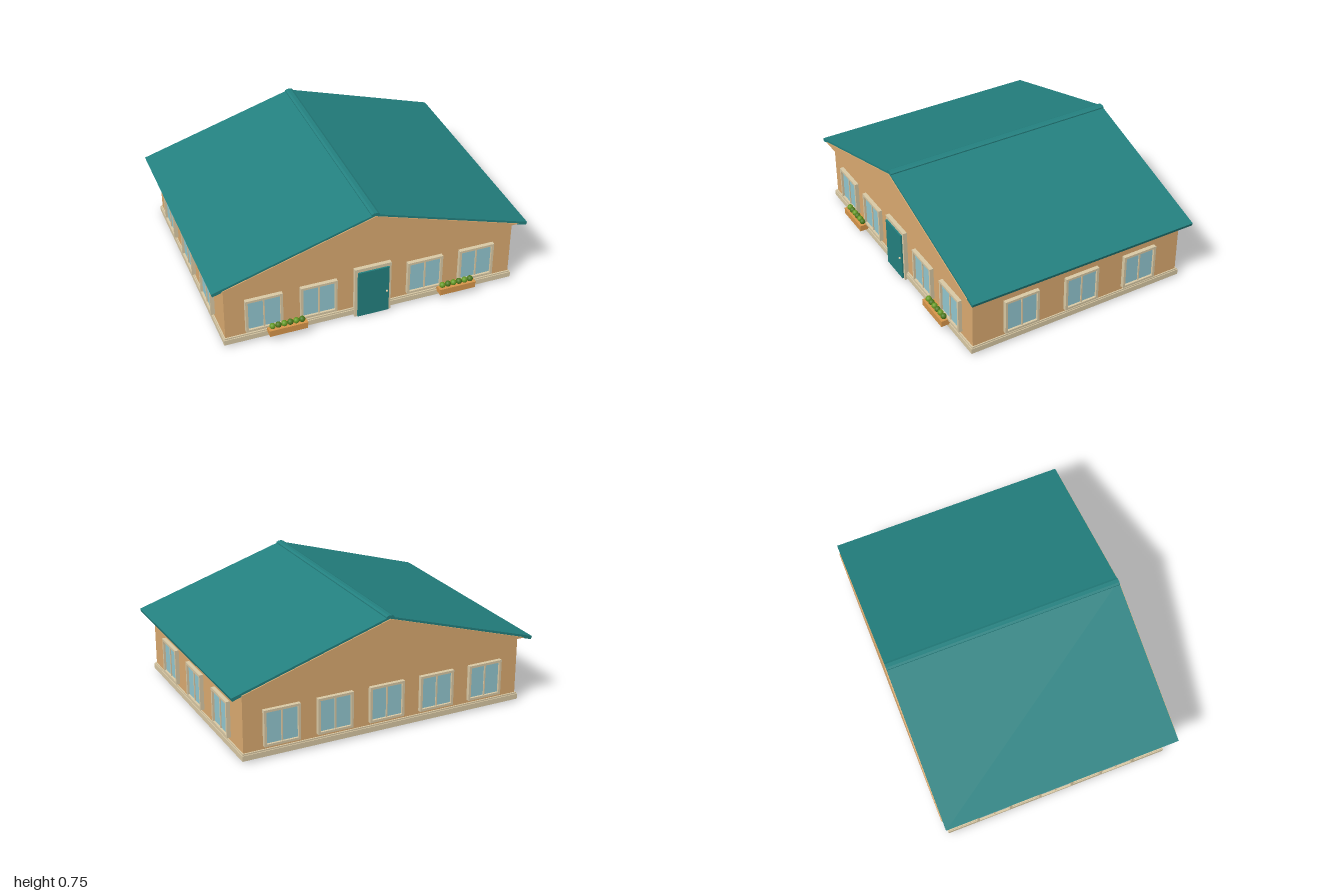
import * as THREE from 'three';

const mat = (name, color, side = THREE.FrontSide) => {
  const m = new THREE.MeshStandardMaterial({ color, side });
  m.name = name;
  return m;
};

export function createModel() {
  const house = new THREE.Group();
  house.name = 'house';
  const wallMat = mat('tan wall', 0xdaaa70, THREE.DoubleSide);
  const roofMat = mat('teal', 0x23807f, THREE.DoubleSide);
  const trimMat = mat('cream trim', 0xd8c8a4);
  const glassMat = mat('pale blue glass', 0x92c6cf);
  const woodMat = mat('planter wood', 0xd6954a);
  const leafMat = mat('leaf green', 0x669a24);
  const darkLeafMat = mat('deep leaf green', 0x4c7a1e);

  const CZ = -0.009; // middle of the walls in z
  const HX = 0.92, HZ = 0.719;

  const add = (parent, name, geo, material, x = 0, y = 0, z = 0) => {
    const m = new THREE.Mesh(geo, material);
    m.name = name;
    m.position.set(x, y, z);
    parent.add(m);
    return m;
  };
  const box = (parent, name, w, h, d, material, x, y, z) =>
    add(parent, name, new THREE.BoxGeometry(w, h, d), material, x, y, z);
  const rect = (T, hw, hh) => {
    const s = new T();
    s.moveTo(-hw, -hh);
    s.lineTo(hw, -hh);
    s.lineTo(hw, hh);
    s.lineTo(-hw, hh);
    s.closePath();
    return s;
  };
  // rectangular ring extruded along z
  const ring = (hw, hh, t, depth) => {
    const s = rect(THREE.Shape, hw, hh);
    s.holes.push(rect(THREE.Path, hw - t, hh - t));
    return new THREE.ExtrudeGeometry(s, { depth, bevelEnabled: false });
  };
  const polygon = (pts, depth) => new THREE.ExtrudeGeometry(
    new THREE.Shape(pts.map(p => new THREE.Vector2(...p))), { depth, bevelEnabled: false });

  // hollow walls and plinth, open underneath
  add(house, 'walls', ring(HX, HZ, 0.015, 0.387).rotateX(-Math.PI / 2), wallMat, 0, 0.05, CZ);
  add(house, 'plinth', ring(HX + 0.012, HZ + 0.015, 0.035, 0.034).rotateX(-Math.PI / 2), trimMat, 0, 0.012, CZ);
  add(house, 'plinthCap', ring(HX + 0.007, HZ + 0.009, 0.03, 0.009).rotateX(-Math.PI / 2), trimMat, 0, 0.046, CZ);

  // gables
  const gable = [[-0.94, 0.437], [0.94, 0.437], [0, 0.728]];
  add(house, 'frontGable', polygon(gable, 0.052), wallMat, 0, 0, 0.705);
  add(house, 'backGable', polygon(gable, 0.052), wallMat, 0, 0, -0.775);

  // roof and ridge cap
  add(house, 'roof', polygon([[-1, 0.433], [-0.994, 0.413], [0, 0.719], [0.994, 0.413], [1, 0.433], [0, 0.741]], 1.52),
    roofMat, 0, 0, -0.768);
  add(house, 'ridgeCap', polygon([[-0.025, 0.73], [0.025, 0.73], [0.025, 0.741], [0.012, 0.748], [-0.012, 0.748], [-0.025, 0.741]], 1.52),
    roofMat, 0, 0, -0.768);

  // two-pane windows, built facing +z and turned to each wall
  const addWindow = (x, z, turn) => {
    const w = new THREE.Group();
    w.name = 'window';
    add(w, 'frame', ring(0.115, 0.115, 0.015, 0.025), trimMat);
    box(w, 'glass', 0.202, 0.202, 0.008, glassMat, 0, 0, 0.007);
    box(w, 'mullion', 0.009, 0.204, 0.018, trimMat, 0, 0, 0.009);
    w.position.set(x, 0.192, z);
    w.rotation.y = turn;
    house.add(w);
  };
  for (let i = -2; i <= 2; i++) {
    if (i) addWindow(i * 0.341, CZ + HZ, 0);
    addWindow(i * 0.341, CZ - HZ, Math.PI);
  }
  for (const z of [0.39, -0.022, -0.435])
    for (const s of [-1, 1]) addWindow(s * HX, z, s * Math.PI / 2);

  // front door
  const door = new THREE.Group();
  door.name = 'frontDoor';
  door.position.z = CZ + HZ;
  for (const s of [-1, 1]) box(door, 'doorPost', 0.018, 0.352, 0.026, trimMat, s * 0.108, 0.176, 0.013);
  box(door, 'doorLintel', 0.198, 0.022, 0.026, trimMat, 0, 0.341, 0.013);
  box(door, 'doorLeaf', 0.2, 0.325, 0.036, roofMat, 0, 0.167, 0.018);
  add(door, 'doorKnob', new THREE.SphereGeometry(0.007, 12, 8), trimMat, 0.085, 0.155, 0.041);
  house.add(door);

  // planters with a row of small shrubs
  for (const x of [-0.548, 0.547]) {
    const planter = new THREE.Group();
    planter.name = 'planter';
    planter.position.set(x, 0, 0.745);
    box(planter, 'planterBox', 0.235, 0.04, 0.064, woodMat, 0, 0.06, 0);
    box(planter, 'planterRim', 0.242, 0.008, 0.064, woodMat, 0, 0.078, 0);
    for (let i = 0; i < 6; i++)
      add(planter, 'shrub', new THREE.SphereGeometry(0.019, 14, 10), i % 2 ? darkLeafMat : leafMat,
        (i - 2.5) * 0.037, 0.094, 0.003);
    house.add(planter);
  }
  return house;
}
